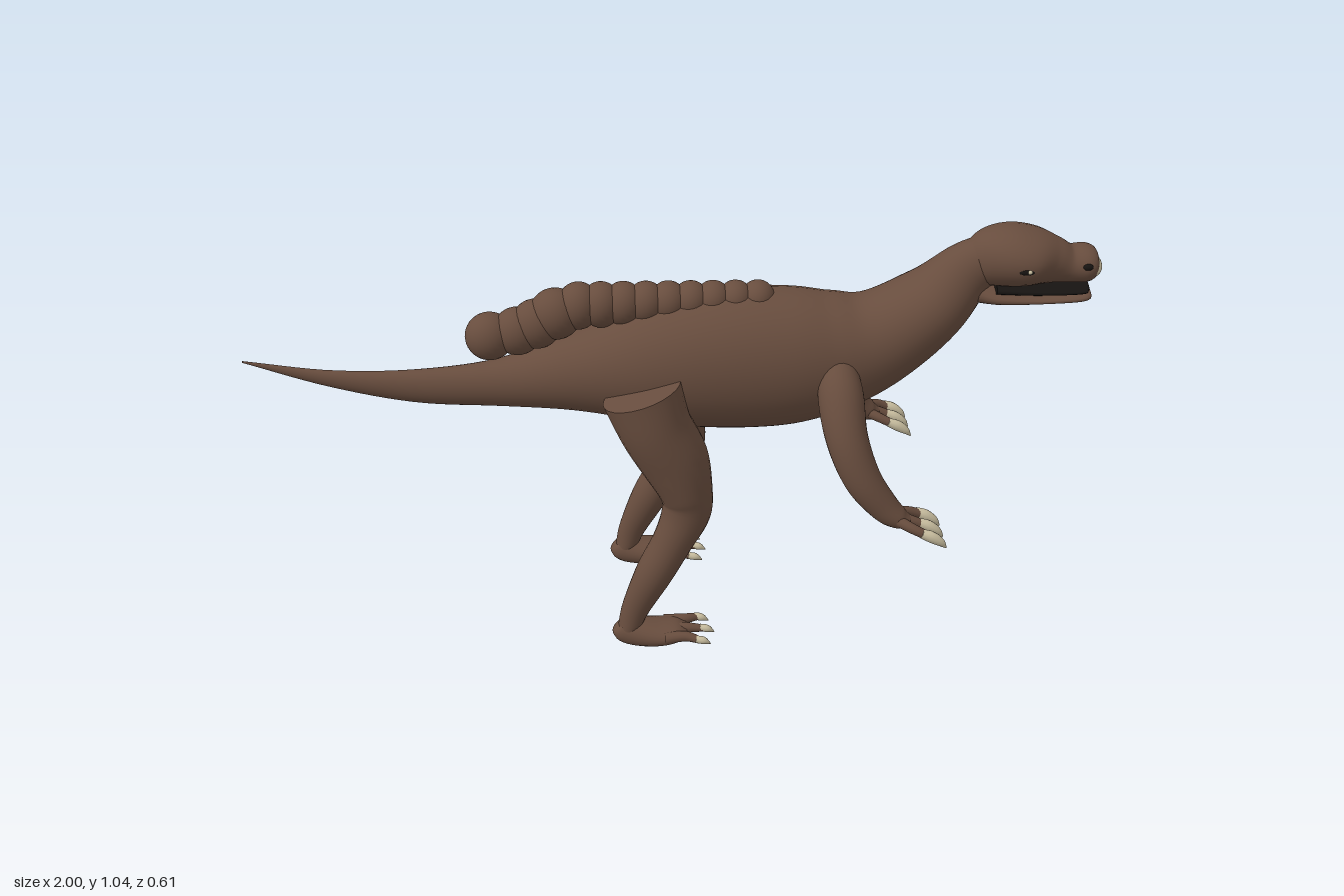
import * as THREE from 'three';

const mat = (name, color, side = THREE.FrontSide) => {
  const m = new THREE.MeshStandardMaterial({ color, side });
  m.name = name;
  return m;
};

// Smooth skin over cross-sections [x, y, z, half height, half width]
function loft(sections, steps = 40, sides = 24) {
  const path = new THREE.CatmullRomCurve3(sections.map(s => new THREE.Vector3(s[0], s[1], s[2])), false, 'catmullrom');
  const size = new THREE.CatmullRomCurve3(sections.map(s => new THREE.Vector3(s[3], s[4], 0)), false, 'catmullrom');
  const pos = [], index = [];
  for (let i = 0; i <= steps; i++) {
    const c = path.getPoint(i / steps), r = size.getPoint(i / steps), t = path.getTangent(i / steps);
    const side = new THREE.Vector3(0, 0, 1).addScaledVector(t, -t.z).normalize();
    const up = side.clone().cross(t);
    for (let j = 0; j < sides; j++) {
      const a = j / sides * Math.PI * 2;
      const p = c.clone().addScaledVector(up, Math.max(r.x, 0.001) * Math.cos(a))
        .addScaledVector(side, Math.max(r.y, 0.001) * Math.sin(a));
      pos.push(p.x, p.y, p.z);
      if (i < steps) {
        const k = i * sides + j, n = i * sides + (j + 1) % sides;
        index.push(k, n, k + sides, n, n + sides, k + sides);
      }
    }
  }
  // Flat end caps with their own vertices
  for (const end of [0, 1]) {
    const base = pos.length / 3, c = path.getPoint(end);
    pos.push(c.x, c.y, c.z);
    for (let j = 0; j < sides; j++) {
      const k = (end * steps * sides + j) * 3;
      pos.push(pos[k], pos[k + 1], pos[k + 2]);
      const p = base + 1 + j, q = base + 1 + (j + 1) % sides;
      index.push(base, end ? p : q, end ? q : p);
    }
  }
  const g = new THREE.BufferGeometry();
  g.setAttribute('position', new THREE.Float32BufferAttribute(pos, 3));
  g.setIndex(index);
  g.computeVertexNormals();
  return g;
}

export function createModel() {
  const model = new THREE.Group();
  const hide = mat('brownHide', 0x684d3e);
  const claw = mat('ivoryClaw', 0xcdc2a3);
  const dark = mat('darkMouth', 0x171412);

  const add = (name, geometry, material, parent = model) => {
    const m = new THREE.Mesh(geometry, material);
    m.name = name;
    parent.add(m);
    return m;
  };
  const ball = (name, x, y, z, rx, ry, rz, material, parent) => {
    const m = add(name, new THREE.SphereGeometry(1, 24, 16), material, parent);
    m.position.set(x, y, z);
    m.scale.set(rx, ry, rz);
    return m;
  };

  // Tail, torso and neck
  add('body', loft([
    [-1, 0.73, 0, 0.002, 0.002],
    [-0.8, 0.68, 0, 0.021, 0.015],
    [-0.6, 0.655, 0, 0.042, 0.03],
    [-0.4, 0.66, 0, 0.06, 0.05],
    [-0.22, 0.685, 0, 0.098, 0.09],
    [-0.05, 0.705, 0, 0.15, 0.13],
    [0.12, 0.713, 0, 0.174, 0.142],
    [0.28, 0.716, 0, 0.172, 0.14],
    [0.4, 0.73, 0, 0.148, 0.125],
    [0.5, 0.765, 0, 0.117, 0.11],
    [0.61, 0.846, 0, 0.091, 0.098],
    [0.69, 0.934, 0, 0.068, 0.06],
    [0.76, 0.975, 0, 0.05, 0.05],
  ], 80, 32), hide);

  // Head and lower jaw
  const head = new THREE.Group();
  head.name = 'head';
  model.add(head);
  add('skull', loft([
    [0.685, 0.96, 0, 0.04, 0.035],
    [0.72, 0.963, 0, 0.063, 0.062],
    [0.775, 0.97, 0, 0.071, 0.086],
    [0.83, 0.967, 0, 0.066, 0.089],
    [0.88, 0.956, 0, 0.055, 0.064],
    [0.92, 0.946, 0, 0.044, 0.052],
    [0.96, 0.946, 0, 0.044, 0.054],
    [0.982, 0.946, 0, 0.034, 0.042],
    [0.99, 0.946, 0, 0.01, 0.012],
  ], 48, 28), hide, head);
  add('lowerJaw', loft([
    [0.71, 0.885, 0, 0.028, 0.05],
    [0.76, 0.878, 0, 0.021, 0.064],
    [0.85, 0.873, 0, 0.014, 0.062],
    [0.94, 0.874, 0, 0.014, 0.057],
    [0.972, 0.875, 0, 0.012, 0.045],
    [0.98, 0.875, 0, 0.004, 0.02],
  ]), hide, head);
  add('mouth', loft([
    [0.75, 0.9, 0, 0.016, 0.058],
    [0.85, 0.895, 0, 0.014, 0.061],
    [0.95, 0.893, 0, 0.011, 0.056],
    [0.97, 0.893, 0, 0.01, 0.035],
  ]), dark, head);
  ball('noseTip', 0.971, 0.94, 0, 0.029, 0.026, 0.046, claw, head);

  // Row of rounded plates down the back
  const spine = new THREE.Group();
  spine.name = 'spine';
  model.add(spine);
  for (let i = 0; i < 9; i++) {
    const t = i / 8;
    ball('spinePlate', 0.205 - i * 0.052, 0.872 - 0.012 * t, 0, 0.04 + 0.01 * t, 0.041 + 0.016 * t, 0.043 + 0.008 * t, hide, spine);
  }
  for (const [x, y, r] of [[-0.265, 0.84, 0.062], [-0.31, 0.815, 0.06], [-0.355, 0.797, 0.058], [-0.42, 0.785, 0.058]])
    ball('spinePlate', x, y, 0, r, r, r * 0.9, hide, spine);

  for (const s of [1, -1]) {
    const tag = s > 0 ? 'left' : 'right';
    const flip = rows => rows.map(([x, y, z, a, b]) => [x, y, z * s, a, b]);

    // Eye and nostril
    ball(tag + 'EyeSocket', 0.806, 0.966, s * 0.083, 0.022, 0.009, 0.01, dark, head);
    ball(tag + 'Eye', 0.81, 0.967, s * 0.09, 0.006, 0.005, 0.005, claw, head);
    ball(tag + 'Nostril', 0.955, 0.957, s * 0.05, 0.012, 0.008, 0.007, dark, head);

    // Hind leg
    const leg = new THREE.Group();
    leg.name = tag + 'HindLeg';
    model.add(leg);
    add('legSkin', loft(flip([
      [-0.07, 0.7, 0.13, 0.095, 0.082],
      [-0.04, 0.61, 0.135, 0.086, 0.085],
      [0.005, 0.52, 0.138, 0.082, 0.08],
      [0.033, 0.43, 0.142, 0.064, 0.07],
      [0.032, 0.375, 0.152, 0.059, 0.054],
      [0, 0.3, 0.162, 0.049, 0.047],
      [-0.045, 0.21, 0.168, 0.046, 0.045],
      [-0.09, 0.11, 0.171, 0.035, 0.03],
      [-0.108, 0.05, 0.172, 0.028, 0.03],
    ]), 48), hide, leg);
    add('foot', loft(flip([
      [-0.142, 0.055, 0.172, 0.004, 0.006],
      [-0.132, 0.048, 0.172, 0.028, 0.025],
      [-0.1, 0.036, 0.172, 0.036, 0.036],
      [-0.04, 0.032, 0.173, 0.031, 0.047],
      [0.01, 0.037, 0.174, 0.021, 0.045],
      [0.035, 0.04, 0.174, 0.006, 0.025],
    ])), hide, leg);
    for (const d of [-1, 0, 1]) {
      const z = 0.174 + d * 0.035, tip = 0.174 + d * 0.046, far = d ? 0 : 0.012;
      add('toe', loft(flip([
        [-0.02, 0.038, z, 0.015, 0.016],
        [0.03, 0.042, z, 0.013, 0.013],
        [0.064 + far, 0.038, tip, 0.009, 0.009],
      ]), 12, 12), hide, leg);
      add('toeClaw', loft(flip([
        [0.055 + far, 0.041, tip, 0.009, 0.009],
        [0.075 + far, 0.036, tip, 0.009, 0.009],
        [0.092 + far, 0.026, tip, 0.001, 0.001],
      ]), 10, 12), claw, leg);
    }

    // Arm with a three-fingered hand
    const arm = new THREE.Group();
    arm.name = tag + 'Arm';
    model.add(arm);
    add('armSkin', loft(flip([
      [0.385, 0.745, 0.075, 0.04, 0.04],
      [0.39, 0.685, 0.135, 0.053, 0.053],
      [0.402, 0.6, 0.191, 0.049, 0.048],
      [0.438, 0.51, 0.224, 0.044, 0.042],
      [0.49, 0.44, 0.238, 0.036, 0.036],
      [0.525, 0.412, 0.244, 0.027, 0.032],
      [0.55, 0.401, 0.247, 0.015, 0.022],
    ]), 40), hide, arm);
    for (const d of [-1, 0, 1]) {
      const z = 0.247 + d * 0.045;
      add('finger', loft(flip([
        [0.515, 0.416, 0.244 + d * 0.014, 0.014, 0.014],
        [0.555, 0.404, 0.247 + d * 0.036, 0.012, 0.012],
        [0.588, 0.39, z, 0.011, 0.011],
      ]), 14, 12), hide, arm);
      add('fingerClaw', loft(flip([
        [0.575, 0.396, z, 0.011, 0.011],
        [0.6, 0.385, z, 0.014, 0.013],
        [0.622, 0.37, z, 0.01, 0.01],
        [0.636, 0.354, z, 0.002, 0.002],
      ]), 14, 12), claw, arm);
    }
  }
  return model;
}
